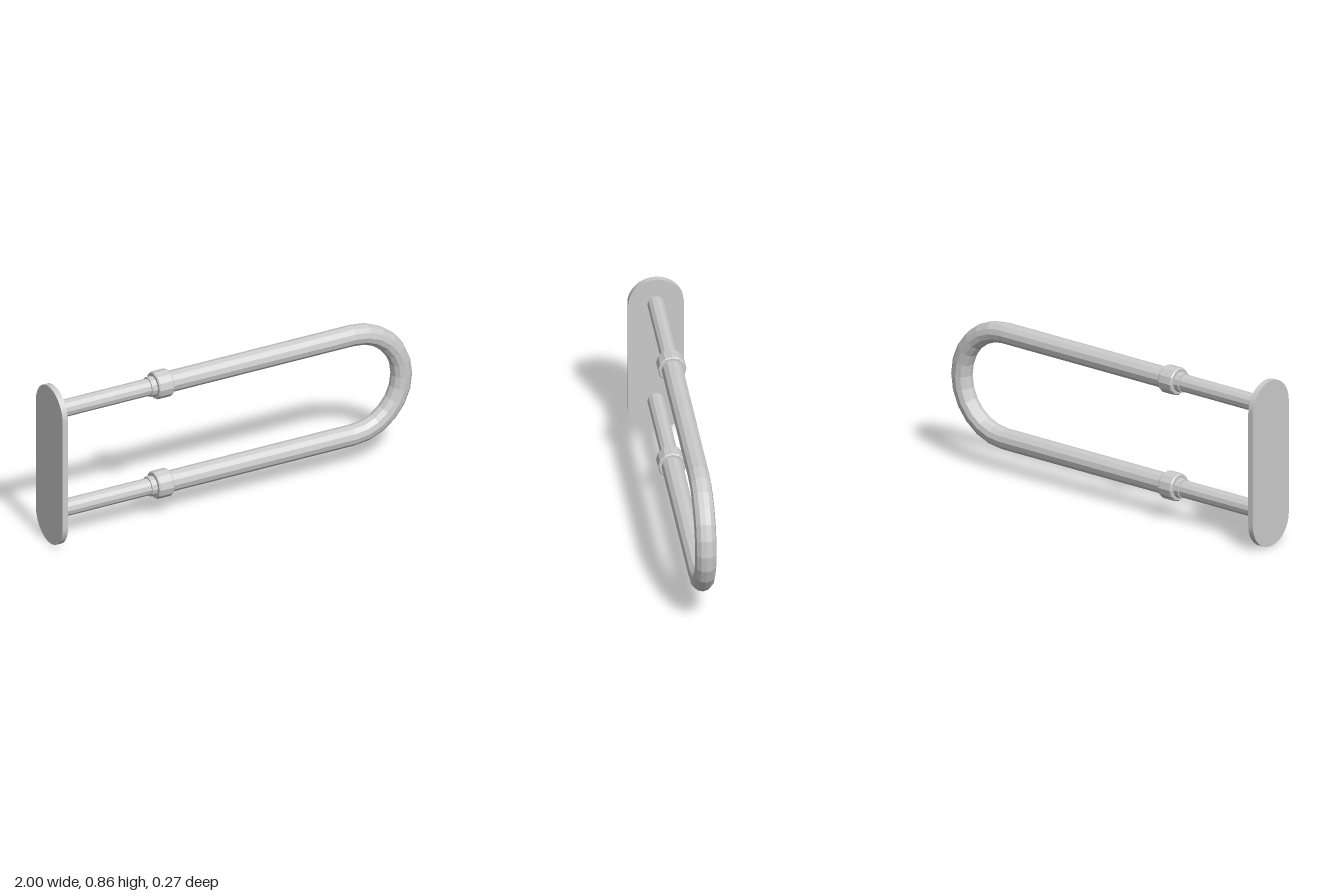
import * as THREE from 'three';
import { mergeGeometries } from 'three/addons/utils/BufferGeometryUtils.js';

const SIDES = 12;
const MID_Y = 0.444;      // height of the rail's centre line
const BEND_R = 0.274;     // half the distance between the two bars
const BEND_X = 0.673;     // where the straight bars meet the bend
const RAIL_R = 0.053;
const material = new THREE.MeshStandardMaterial({ color: 0xcccccc, flatShading: true });

export function createModel() {
  const model = new THREE.Group();
  model.name = 'foldingGrabRail';

  const add = (name, geometry, y = 0) => {
    const mesh = new THREE.Mesh(geometry, material);
    mesh.name = name;
    mesh.position.y = y;
    model.add(mesh);
  };

  // Straight tube along x
  const bar = (x0, x1, radius, open = false) =>
    new THREE.CylinderGeometry(radius, radius, x1 - x0, SIDES, 1, open)
      .rotateZ(-Math.PI / 2)
      .translate((x0 + x1) / 2, 0, 0);

  // Wall plate with rounded ends
  const plateR = 0.137, plateH = 0.855, plateT = 0.03;
  const outline = new THREE.Shape();
  outline.absarc(0, plateH - plateR, plateR, 0, Math.PI);
  outline.absarc(0, plateR, plateR, Math.PI, Math.PI * 2);
  outline.closePath();
  const plate = new THREE.ExtrudeGeometry(outline, {
    depth: plateT, bevelEnabled: false, curveSegments: 12,
  });
  add('wallPlate', plate.rotateY(Math.PI / 2).translate(-1, 0, 0));

  // U-shaped outer rail: two straight bars joined by a half-ring
  const bend = new THREE.TorusGeometry(BEND_R, RAIL_R, SIDES, 12, Math.PI)
    .rotateZ(-Math.PI / 2)
    .translate(BEND_X, 0, 0);
  const arms = [1, -1].map((s) => bar(-0.36, BEND_X, RAIL_R, true).translate(0, s * BEND_R, 0));
  add('outerRail', mergeGeometries([bend, ...arms]), MID_Y);

  // Locking collar profile: [radius, x], a narrow lip and a bevelled nut
  const profile = [
    [0.04, -0.455], [0.05, -0.455], [0.05, -0.425], [0.065, -0.425],
    [0.07, -0.419], [0.07, -0.347], [0.065, -0.341], [0.05, -0.341],
  ].map(([r, x]) => new THREE.Vector2(r, x));

  // Inner tube and collar on each level
  for (const [level, s] of [['upper', 1], ['lower', -1]]) {
    const y = MID_Y + s * BEND_R;
    add(`${level}InnerTube`, bar(-0.975, -0.35, 0.043), y);
    add(`${level}Collar`, new THREE.LatheGeometry(profile, SIDES).rotateZ(-Math.PI / 2), y);
  }

  return model;
}
